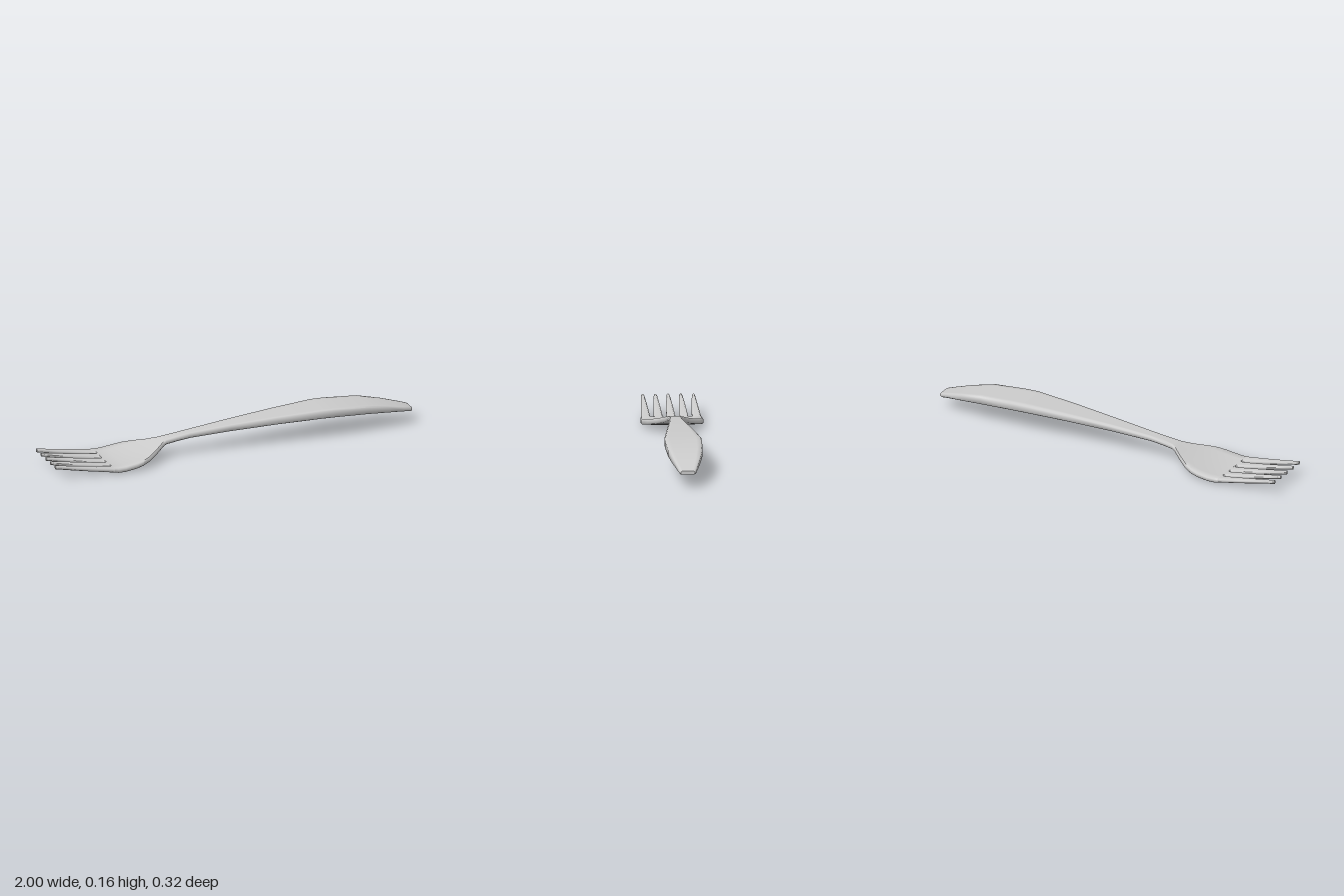
import * as THREE from 'three';
import { toCreasedNormals } from 'three/addons/utils/BufferGeometryUtils.js';

// Stations along the fork: x, half width, underside y, top y
const STATIONS = [
  [-1.0, 0.137, 0.067, 0.086],
  [-0.8, 0.148, 0.027, 0.048],
  [-0.7, 0.153, 0.008, 0.031],
  [-0.66, 0.158, 0.001, 0.027],
  [-0.62, 0.161, 0.002, 0.029],
  [-0.56, 0.16, 0.011, 0.038],
  [-0.52, 0.152, 0.020, 0.047],
  [-0.48, 0.132, 0.030, 0.057],
  [-0.42, 0.086, 0.048, 0.075],
  [-0.37, 0.046, 0.067, 0.094],
  [-0.35, 0.038, 0.075, 0.100],
  [-0.29, 0.034, 0.082, 0.108],
  [-0.22, 0.032, 0.089, 0.117],
  [0.0, 0.048, 0.101, 0.135],
  [0.25, 0.072, 0.111, 0.150],
  [0.49, 0.094, 0.116, 0.160],
  [0.56, 0.095, 0.114, 0.158],
  [0.74, 0.088, 0.103, 0.147],
  [0.86, 0.070, 0.088, 0.123],
  [0.95, 0.052, 0.075, 0.100],
  [0.99, 0.043, 0.067, 0.089],
  [1.0, 0.036, 0.067, 0.085],
];
const BEVEL = 0.006;
const ROOT = -0.68; // where the slots end
const PITCH = 0.065; // spacing of the tines

// Linear lookup in a table whose first column is x
function sample(table, x, column) {
  let i = 0;
  while (i < table.length - 2 && x > table[i + 1][0]) i++;
  const a = table[i], b = table[i + 1];
  return THREE.MathUtils.lerp(a[column], b[column], (x - a[0]) / (b[0] - a[0]));
}

// Bevelled cross-section from z0 to z1, slightly dished in the bowl
function section(x, z0, z1, bevel0 = BEVEL, bevel1 = BEVEL) {
  const bottom = sample(STATIONS, x, 2), top = sample(STATIONS, x, 3);
  const dish = 0.006 * THREE.MathUtils.smoothstep(x, -1, -0.66)
    * (1 - THREE.MathUtils.smoothstep(x, -0.6, -0.37));
  const lift = (z) => dish * (z / 0.16) ** 2;
  const upper = [[z0, bevel0]];
  for (let i = 0; i <= 8; i++) {
    upper.push([THREE.MathUtils.lerp(z0 + bevel0, z1 - bevel1, i / 8), 0]);
  }
  upper.push([z1, bevel1]);
  return [
    ...upper.map(([z, drop]) => [x, top - drop + lift(z), z]),
    ...upper.reverse().map(([z, drop]) => [x, bottom + drop + lift(z), z]),
  ];
}

// Skin a row of sections and close both ends
function loft(rings) {
  const n = rings[0].length, position = [];
  const quad = (a, b, c, d) => position.push(...a, ...b, ...c, ...a, ...c, ...d);
  for (let i = 0; i < rings.length - 1; i++) {
    for (let j = 0; j < n; j++) {
      const k = (j + 1) % n;
      quad(rings[i][j], rings[i][k], rings[i + 1][k], rings[i + 1][j]);
    }
  }
  const first = rings[0], last = rings[rings.length - 1];
  for (let j = 0; j < n / 2 - 1; j++) {
    quad(last[j], last[j + 1], last[n - 2 - j], last[n - 1 - j]);
    quad(first[n - 1 - j], first[n - 2 - j], first[j + 1], first[j]);
  }
  const geometry = new THREE.BufferGeometry();
  geometry.setAttribute('position', new THREE.Float32BufferAttribute(position, 3));
  return toCreasedNormals(geometry, 0.9);
}

export function createModel() {
  const fork = new THREE.Group();
  fork.name = 'fork';
  const material = new THREE.MeshStandardMaterial({ color: 0xcccccc });
  const add = (name, rings) => {
    const mesh = new THREE.Mesh(loft(rings), material);
    mesh.name = name;
    fork.add(mesh);
  };

  // Bowl, neck and handle in one continuous body
  const bodyX = [ROOT, ...STATIONS.map((s) => s[0]).filter((x) => x > ROOT)];
  add('bowlAndHandle', bodyX.map((x) => {
    const w = sample(STATIONS, x, 1);
    return section(x, -w, w);
  }));

  // Half width of the slots, rounded at the root and widening to the tips
  const SLOT = [
    [-1.0, 0.0255], [-0.985, 0.0235], [-0.9, 0.018], [-0.8, 0.013],
    [-0.71, 0.0095], [-0.695, 0.008], [-0.685, 0.005], [ROOT, 0],
  ];
  for (let k = -2; k <= 2; k++) {
    add('tine', SLOT.map(([x, gap]) => {
      const outer = sample(STATIONS, x, 1);
      const inner = Math.min(BEVEL, gap);
      const z0 = k === -2 ? -outer : (k - 0.5) * PITCH + gap;
      const z1 = k === 2 ? outer : (k + 0.5) * PITCH - gap;
      const limit = (z1 - z0) * 0.4;
      return section(x, z0, z1,
        Math.min(k === -2 ? BEVEL : inner, limit),
        Math.min(k === 2 ? BEVEL : inner, limit));
    }));
  }
  return fork;
}
